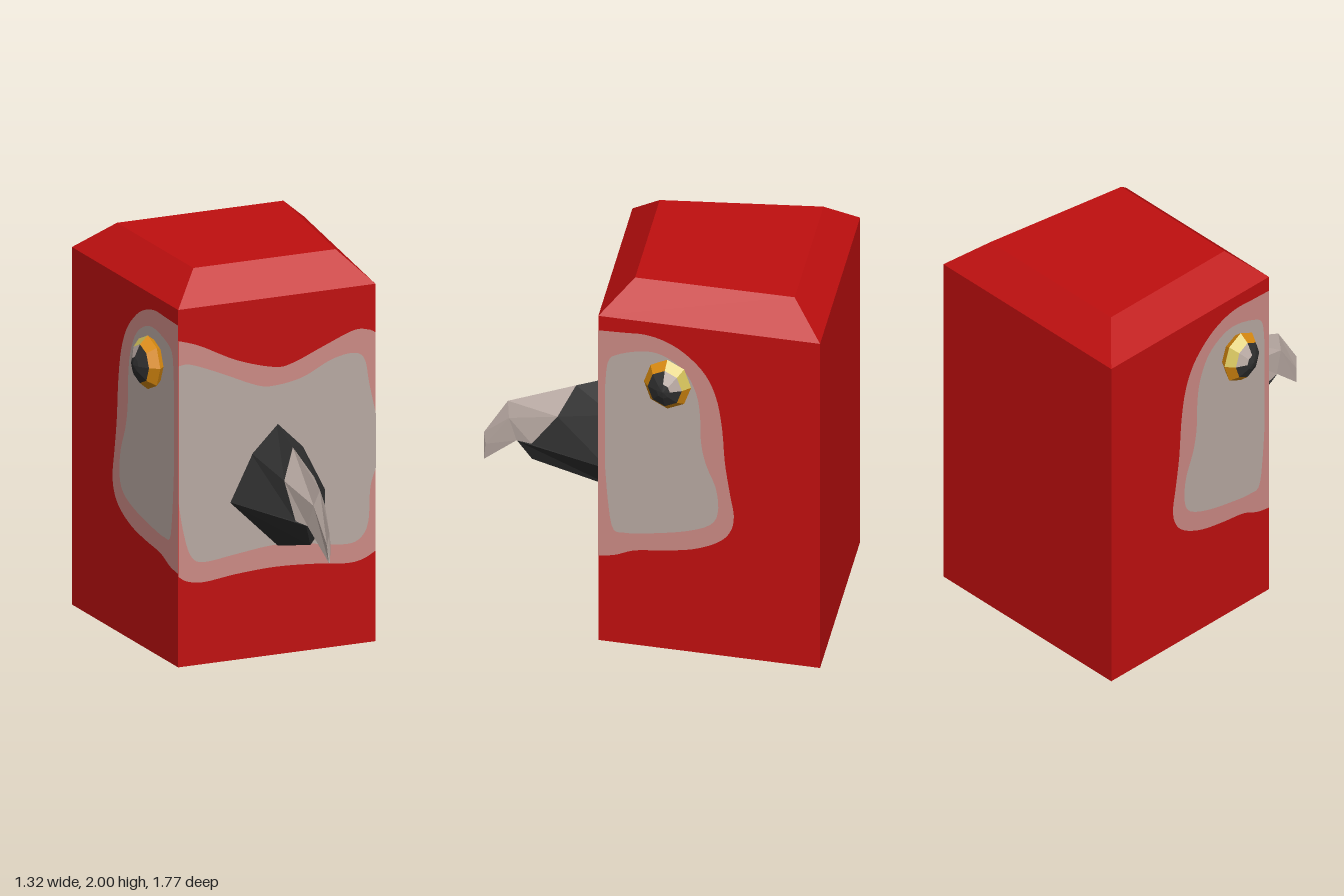
import * as THREE from 'three';

const mat = (name, color) => {
  const m = new THREE.MeshStandardMaterial({ color });
  m.name = name;
  return m;
};

// Joins closed cross-sections (counter-clockwise seen from the far end) into faceted skin.
function loft(sections, capStart, capEnd) {
  const pos = [];
  const tri = (a, b, c) => pos.push(...a, ...b, ...c);
  const n = sections[0].length;
  for (let k = 0; k < sections.length - 1; k++) {
    for (let i = 0; i < n; i++) {
      const j = (i + 1) % n, s = sections[k], e = sections[k + 1];
      tri(s[i], s[j], e[j]);
      tri(s[i], e[j], e[i]);
    }
  }
  const first = sections[0], last = sections[sections.length - 1];
  for (let i = 1; i < n - 1; i++) {
    if (capStart) tri(first[0], first[i + 1], first[i]);
    if (capEnd) tri(last[0], last[i], last[i + 1]);
  }
  const g = new THREE.BufferGeometry();
  g.setAttribute('position', new THREE.Float32BufferAttribute(pos, 3));
  g.computeVertexNormals();
  return g;
}

// Flat patch bounded by one or more smooth curves joined by straight edges.
function patch(...curves) {
  const pts = curves.flatMap(c =>
    new THREE.SplineCurve(c.map(p => new THREE.Vector2(...p))).getPoints(60));
  return new THREE.ShapeGeometry(new THREE.Shape(pts));
}

export function createModel() {
  const root = new THREE.Group();
  const red = mat('red plumage', 0xc00f0f);
  const pink = mat('pink skin edge', 0xcc8a84);
  const pale = mat('pale skin and horn', 0xb8a9a2);
  const black = mat('black beak and pupil', 0x303030);
  const orange = mat('orange iris', 0xdc8c10);
  const yellow = mat('light yellow glint', 0xd2c05a);
  [red, black, pale, orange, yellow].forEach(m => { m.flatShading = true; });
  const add = (name, geo, m, parent = root) => {
    const mesh = new THREE.Mesh(geo, m);
    mesh.name = name;
    parent.add(mesh);
    return mesh;
  };

  // Head block: tapered plan with a bevelled crown
  const plan = (y, fl, fr, fz, bl, br, bz) =>
    [[fr, y, fz], [br, y, bz], [bl, y, bz], [fl, y, fz]];
  add('head', loft([
    plan(0, -0.515, 0.54, 0.235, -0.605, 0.635, -0.885),
    plan(1.85, -0.515, 0.54, 0.235, -0.605, 0.635, -0.885),
    plan(2, -0.365, 0.395, 0.075, -0.43, 0.46, -0.73),
  ], true, true), red);

  // Face patches on the front
  add('frontFaceEdge', patch(
    [[-0.515, 1.69], [-0.4, 1.65], [-0.2, 1.55], [0, 1.49], [0.1, 1.5], [0.25, 1.56], [0.42, 1.625], [0.5, 1.62], [0.54, 1.6]],
    [[0.54, 0.47], [0.47, 0.435], [0.38, 0.425], [0.2, 0.445], [0, 0.455], [-0.2, 0.445], [-0.38, 0.425], [-0.47, 0.44], [-0.515, 0.47]],
  ), pink).position.z = 0.238;
  add('frontFace', patch(
    [[-0.515, 1.56], [-0.45, 1.56], [-0.3, 1.5], [-0.1, 1.41], [0, 1.395], [0.15, 1.42], [0.3, 1.49], [0.42, 1.51], [0.48, 1.47], [0.505, 1.34], [0.54, 1.18]],
    [[0.54, 0.9], [0.51, 0.8], [0.5, 0.63], [0.46, 0.55], [0.38, 0.525], [0.2, 0.55], [0, 0.57], [-0.2, 0.55], [-0.38, 0.53], [-0.45, 0.57], [-0.49, 0.7], [-0.515, 0.85]],
  ), pale).position.z = 0.241;

  // Cheek patches, drawn as (z, y) and laid on the slanted side walls
  const edge = [[0.235, 1.77], [0.1, 1.775], [0, 1.778], [-0.1, 1.755], [-0.2, 1.7], [-0.3, 1.6], [-0.36, 1.47], [-0.39, 1.3], [-0.405, 1.1], [-0.43, 0.93], [-0.45, 0.8], [-0.43, 0.71], [-0.37, 0.645], [-0.25, 0.59], [-0.1, 0.56], [0.05, 0.54], [0.15, 0.5], [0.235, 0.485]];
  const inner = [[0.2, 1.45], [0.185, 1.6], [0.13, 1.65], [0, 1.685], [-0.1, 1.67], [-0.2, 1.6], [-0.26, 1.48], [-0.28, 1.35], [-0.285, 1.2], [-0.31, 1.08], [-0.36, 0.95], [-0.37, 0.82], [-0.33, 0.74], [-0.2, 0.685], [0, 0.645], [0.1, 0.635], [0.16, 0.65], [0.185, 0.8], [0.2, 1]];
  const cheek = (outline, side, lift) => {
    const g = patch(outline.map(([z, y]) => [-side * z, y]));
    const p = g.attributes.position;
    for (let i = 0; i < p.count; i++) {
      const z = -side * p.getX(i);
      const wall = 0.5275 + (0.235 - z) * 0.0826;
      p.setXYZ(i, 0.0135 + side * (wall + lift), p.getY(i), z);
    }
    g.computeVertexNormals();
    return g;
  };

  // Eyes: faceted domes with a glint in the upper rear quarter
  const eye = (side, x, z) => {
    const g = new THREE.Group();
    g.name = side > 0 ? 'leftEye' : 'rightEye';
    const ball = new THREE.Group();
    ball.name = 'eyeball';
    ball.rotation.z = -side * Math.PI / 2;
    ball.scale.set(1.14, 1, 1);
    const glint = side > 0 ? Math.PI : Math.PI / 2, q = Math.PI / 2;
    const ring = (name, rOut, rIn, h0, h1, m, start, quarters) => {
      add(name, new THREE.CylinderGeometry(rIn, rOut, h1 - h0, quarters * 2, 1, true, start, quarters * q), m, ball)
        .position.y = (h0 + h1) / 2;
    };
    ring('eyeBack', 0.08, 0.122, -0.06, 0, orange, 0, 4);
    ring('iris', 0.122, 0.088, 0, 0.045, orange, glint + q, 3);
    ring('irisGlint', 0.122, 0.088, 0, 0.045, yellow, glint, 1);
    ring('pupil', 0.088, 0.035, 0.045, 0.075, black, glint + q, 3);
    ring('pupilGlint', 0.088, 0.035, 0.045, 0.075, pale, glint, 1);
    ring('pupilCentre', 0.035, 0, 0.075, 0.085, black, 0, 4);
    g.add(ball);
    g.position.set(x, 1.515, z);
    g.rotation.y = -side * 0.13;
    root.add(g);
  };
  for (const side of [1, -1]) {
    const name = side > 0 ? 'left' : 'right';
    add(name + 'CheekEdge', cheek(edge, side, 0.003), pink);
    add(name + 'Cheek', cheek(inner, side, 0.006), pale);
  }
  eye(1, 0.578, -0.115);
  eye(-1, -0.575, -0.005);

  // Upper beak: each section is a mirrored arch of edge, middle and ridge [halfWidth, y, z]
  const cx = 0.015;
  const arch = (e, m, r) => [
    [cx + e[0], e[1], e[2]], [cx + m[0], m[1], m[2]], [cx, r[0], r[1]],
    [cx - m[0], m[1], m[2]], [cx - e[0], e[1], e[2]],
  ];
  const base = arch([0.26, 0.82, 0.225], [0.14, 1.06, 0.225], [1.2, 0.225]);
  const split = arch([0.075, 0.82, 0.64], [0.08, 0.99, 0.51], [1.13, 0.43]);
  const bend = arch([0.045, 0.815, 0.72], [0.03, 0.93, 0.76], [1.01, 0.77]);
  const tip = arch([0.003, 0.67, 0.888], [0.01, 0.76, 0.88], [0.82, 0.89]);
  add('upperBeak', loft([base, split], false, false), black);
  add('beakTip', loft([split, bend, tip], false, true), pale);

  // Lower beak
  const wedge = (w, y, z, by, bz) => [[cx + w, y, z], [cx - w, y, z], [cx, by, bz]];
  add('lowerBeak', loft([
    wedge(0.26, 0.82, 0.225, 0.56, 0.225),
    wedge(0.05, 0.815, 0.715, 0.69, 0.65),
  ], false, true), black);

  return root;
}
